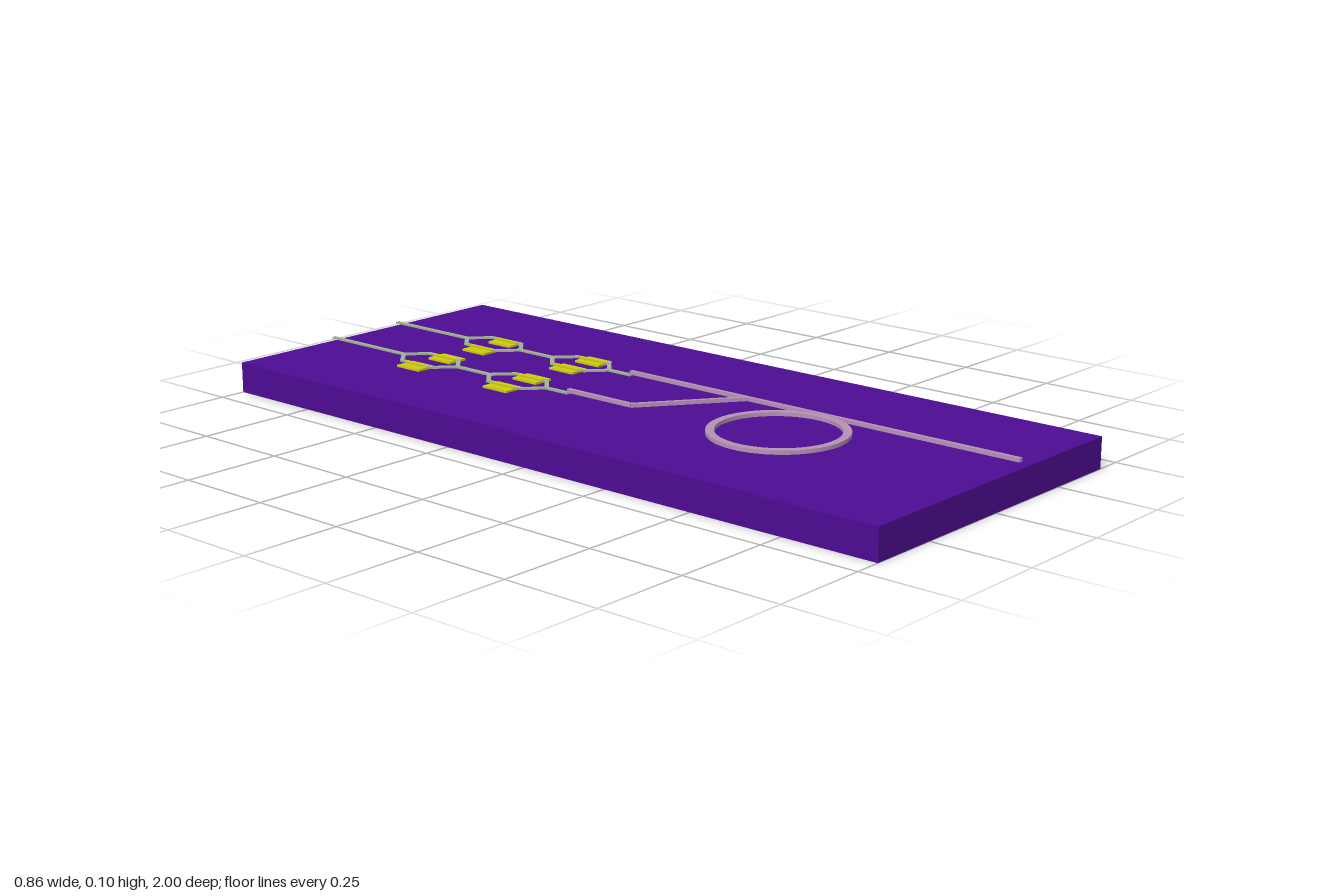
import * as THREE from 'three';

const material = (name, color) => {
  const m = new THREE.MeshStandardMaterial({ color });
  m.name = name;
  return m;
};

export function createModel() {
  const chip = new THREE.Group();
  chip.name = 'photonicChip';
  const purple = material('purple', 0x4d0b92);
  const yellow = material('yellow', 0xcccc10);
  const green = material('paleGreen', 0xa0b294);
  const pink = material('dustyPink', 0xb591b6);

  const W = 0.011; // guide width
  const BASE = 0.078, PAD = 0.0835, LOW = 0.0885, HIGH = 0.098; // layer heights

  // Box between two corners
  function box(name, mat, x0, x1, y0, y1, z0, z1, parent = chip) {
    const mesh = new THREE.Mesh(new THREE.BoxGeometry(x1 - x0, y1 - y0, z1 - z0), mat);
    mesh.position.set((x0 + x1) / 2, (y0 + y1) / 2, (z0 + z1) / 2);
    mesh.name = name;
    parent.add(mesh);
  }

  // Straight guide piece between two plan points [x, z]
  function guide(name, mat, a, b, y0, y1, parent = chip) {
    const dx = b[0] - a[0], dz = b[1] - a[1];
    const overlap = Math.abs(dx) > 0.001 ? 0.004 : 0;
    const mesh = new THREE.Mesh(
      new THREE.BoxGeometry(W, y1 - y0, Math.hypot(dx, dz) + overlap), mat);
    mesh.position.set((a[0] + b[0]) / 2, (y0 + y1) / 2, (a[1] + b[1]) / 2);
    mesh.rotation.y = Math.atan2(dx, dz);
    mesh.name = name;
    parent.add(mesh);
  }

  // Substrate slab
  box('substrate', purple, -0.432, 0.432, 0, BASE, -1, 1);

  // Splitter: forks into two arms, each crossing an electrode pad, then rejoins
  function splitter(x, z, pads) {
    const group = new THREE.Group();
    group.name = 'splitter';
    chip.add(group);
    [-1, 1].forEach((side, i) => {
      const ax = x + side * 0.048;
      const [x0, x1, z0, z1] = pads[i];
      const low = (name, mat, a, b) => guide(name, mat, a, b, PAD, LOW, group);
      low('forkGuide', green, [x, z], [ax, z + 0.045]);
      low('armGuide', green, [ax, z + 0.045], [ax, z0]);
      low('heaterStrip', yellow, [ax, z0], [ax, z1]);
      low('armGuide', green, [ax, z1], [ax, z + 0.152]);
      low('joinGuide', green, [ax, z + 0.152], [x, z + 0.197]);
      box('electrodePad', yellow, x0, x1, BASE, PAD, z0, z1, group);
    });
  }
  const L = -0.12, R = 0.108;
  splitter(L, -0.73, [[-0.2, -0.145, -0.67, -0.592], [-0.096, -0.04, -0.665, -0.587]]);
  splitter(R, -0.73, [[0.026, 0.078, -0.665, -0.587], [0.126, 0.175, -0.67, -0.592]]);
  splitter(L, -0.42, [[-0.2, -0.145, -0.363, -0.283], [-0.096, -0.042, -0.363, -0.283]]);
  splitter(R, -0.42, [[0.036, 0.089, -0.363, -0.283], [0.131, 0.185, -0.363, -0.283]]);

  // Rear straight guides between the splitters
  for (const x of [L, R]) {
    for (const [z0, z1] of [[-1, -0.73], [-0.533, -0.42], [-0.223, -0.15]]) {
      guide('rearGuide', green, [x, z0], [x, z1], PAD, LOW);
    }
  }

  // Raised front guides
  guide('busGuide', pink, [R, -0.15], [R, 0.99], LOW, HIGH);
  guide('feedGuide', pink, [L, -0.15], [L, 0.055], LOW, HIGH);
  guide('couplerGuide', pink, [L, 0.055], [R, 0.224], LOW, HIGH);

  // Ring resonator
  const ringShape = new THREE.Shape().absarc(0, 0, 0.167, 0, Math.PI * 2);
  ringShape.holes.push(new THREE.Path().absarc(0, 0, 0.147, 0, Math.PI * 2, true));
  const ringGeometry = new THREE.ExtrudeGeometry(ringShape, {
    depth: HIGH - LOW, bevelEnabled: false, curveSegments: 64,
  });
  ringGeometry.rotateX(-Math.PI / 2);
  const ring = new THREE.Mesh(ringGeometry, pink);
  ring.position.set(-0.067, LOW, 0.455);
  ring.name = 'ringResonator';
  chip.add(ring);

  return chip;
}
